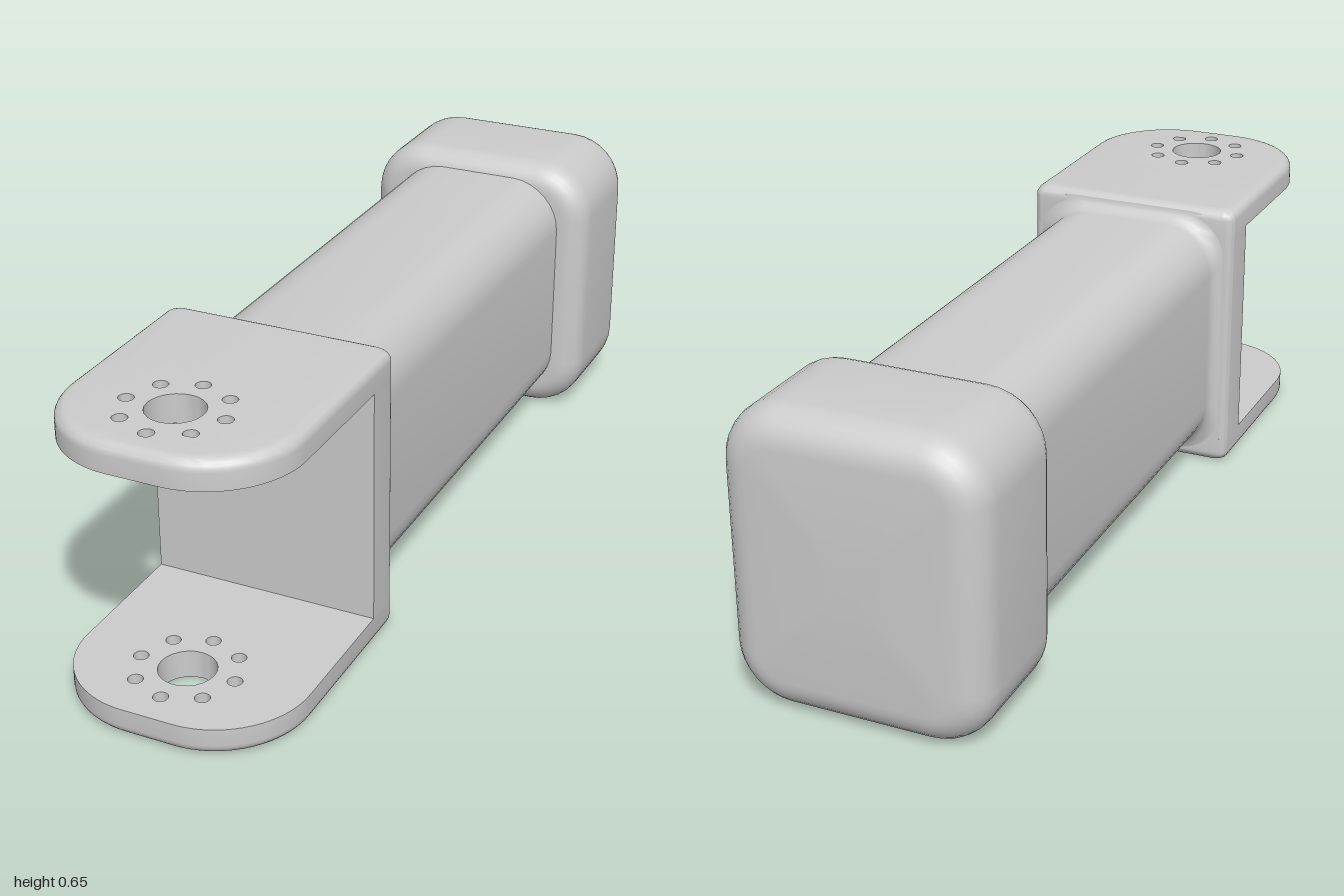
import * as THREE from 'three';
import { toCreasedNormals } from 'three/addons/utils/BufferGeometryUtils.js';

const MID = 0.326, HALF_W = 0.256, PLATE = 0.063, ROUND = 0.025;

// Loft through rounded rectangles [halfWidth, halfHeight, cornerRadius, z], back to front
function loft(rings, seg = 8) {
  const pos = [], index = [], n = 4 * (seg + 1);
  for (const [w, h, r, z] of rings) {
    for (let q = 0; q < 4; q++) {
      const sx = q === 0 || q === 3 ? 1 : -1, sy = q < 2 ? 1 : -1;
      for (let k = 0; k <= seg; k++) {
        const a = (q + k / seg) * Math.PI / 2;
        pos.push(sx * (w - r) + r * Math.cos(a), sy * (h - r) + r * Math.sin(a), z);
      }
    }
  }
  for (let i = 0; i < rings.length - 1; i++) {
    for (let j = 0; j < n; j++) {
      const k = (j + 1) % n, a = i * n + j, b = i * n + k;
      index.push(a, b, b + n, a, b + n, a + n);
    }
  }
  const g = new THREE.BufferGeometry();
  g.setAttribute('position', new THREE.Float32BufferAttribute(pos, 3));
  g.setIndex(index);
  return toCreasedNormals(g, 0.5);
}

// Yoke arm lying flat, its outer face down; only the outer rim is rounded
function armGeometry(holeX) {
  const s = new THREE.Shape(), R = 0.2, steps = 7, zc = 0.7, holeZ = 0.822;
  s.moveTo(-HALF_W + ROUND, 0.4);
  s.lineTo(HALF_W - ROUND, 0.4);
  s.absarc(HALF_W - ROUND, 0.4 + ROUND, ROUND, -Math.PI / 2, 0, false);
  s.absarc(HALF_W - R, 1 - R, R, 0, Math.PI / 2, false);
  s.absarc(-HALF_W + R, 1 - R, R, Math.PI / 2, Math.PI, false);
  s.absarc(-HALF_W + ROUND, 0.4 + ROUND, ROUND, Math.PI, Math.PI * 1.5, false);
  const hole = (x, z, r) => s.holes.push(new THREE.Path().absarc(x, z, r, 0, Math.PI * 2, true));
  hole(holeX, holeZ, 0.061);
  for (let i = 0; i < 8; i++) {
    const a = i * Math.PI / 4;
    hole(holeX + 0.108 * Math.cos(a), holeZ + 0.108 * Math.sin(a), 0.016);
  }
  const g = new THREE.ExtrudeGeometry(s, { depth: steps, steps, bevelEnabled: false, curveSegments: 12 });
  const p = g.attributes.position;
  for (let i = 0; i < p.count; i++) {
    let x = p.getX(i), z = p.getY(i);
    const step = Math.round(p.getZ(i));
    const a = Math.max(0, step - 1) / (steps - 1) * Math.PI / 2;
    const depth = step === 0 ? 0 : PLATE - ROUND + ROUND * Math.sin(a);
    if (Math.hypot(x - holeX, z - holeZ) > 0.13) {
      const inset = ROUND * (1 - Math.cos(a));
      x *= 1 - inset / HALF_W;
      z = zc + (z - zc) * (1 - inset / 0.3);
    }
    p.setXYZ(i, x, z, depth);
  }
  return toCreasedNormals(g, 0.5).rotateX(Math.PI / 2);
}

// Upright plate joining the arms, rounded along its rear edges
function webGeometry() {
  const s = new THREE.Shape();
  s.moveTo(-HALF_W + ROUND, 0.4);
  s.lineTo(HALF_W - ROUND, 0.4);
  s.absarc(HALF_W - ROUND, 0.4 + ROUND, ROUND, -Math.PI / 2, 0, false);
  s.lineTo(HALF_W, 0.5);
  s.lineTo(-HALF_W, 0.5);
  s.absarc(-HALF_W + ROUND, 0.4 + ROUND, ROUND, Math.PI, Math.PI * 1.5, false);
  const depth = 2 * (MID - PLATE);
  const g = new THREE.ExtrudeGeometry(s, { depth, bevelEnabled: false, curveSegments: 8 });
  return toCreasedNormals(g, 0.5).rotateX(Math.PI / 2).translate(0, 2 * MID - PLATE, 0);
}

export function createModel() {
  const model = new THREE.Group();
  const material = new THREE.MeshStandardMaterial({ color: 0xcccccc });
  const add = (name, geometry, y = 0, parent = model) => {
    const mesh = new THREE.Mesh(geometry, material);
    mesh.name = name;
    mesh.position.y = y;
    parent.add(mesh);
    return mesh;
  };

  // Rounded block at the rear
  const block = [[0, 0, 0, -1]], steps = 7;
  const ring = (inset, z) => block.push([0.283 - inset, MID - inset, 0.13 - inset, z]);
  for (let i = 0; i <= steps; i++) {
    const a = i / steps * Math.PI / 2;
    ring(0.075 * (1 - Math.sin(a)), -1 + 0.075 * (1 - Math.cos(a)));
  }
  for (let i = 0; i <= steps; i++) {
    const a = i / steps * Math.PI / 2;
    ring(0.06 * (1 - Math.cos(a)), -0.667 - 0.06 * (1 - Math.sin(a)));
  }
  block.push([0, 0, 0, -0.667]);
  add('endBlock', loft(block), MID);

  // Long beam, flaring in a small fillet where it meets the yoke
  const beam = [[0.215, 0.285, 0.12, -0.69]];
  for (let i = 0; i <= 6; i++) {
    const a = i / 6 * Math.PI / 2, d = 0.028 * (1 - Math.cos(a));
    beam.push([0.215 + d, 0.285 + d, 0.12 - d, 0.365 + 0.037 * Math.sin(a)]);
  }
  add('beam', loft(beam), 0.329);

  // Forked yoke at the front
  const yoke = new THREE.Group();
  yoke.name = 'yoke';
  model.add(yoke);
  add('yokeWeb', webGeometry(), 0, yoke);
  add('lowerArm', armGeometry(-0.008), PLATE, yoke);
  add('upperArm', armGeometry(0.008).rotateZ(Math.PI), 2 * MID - PLATE, yoke);
  return model;
}
